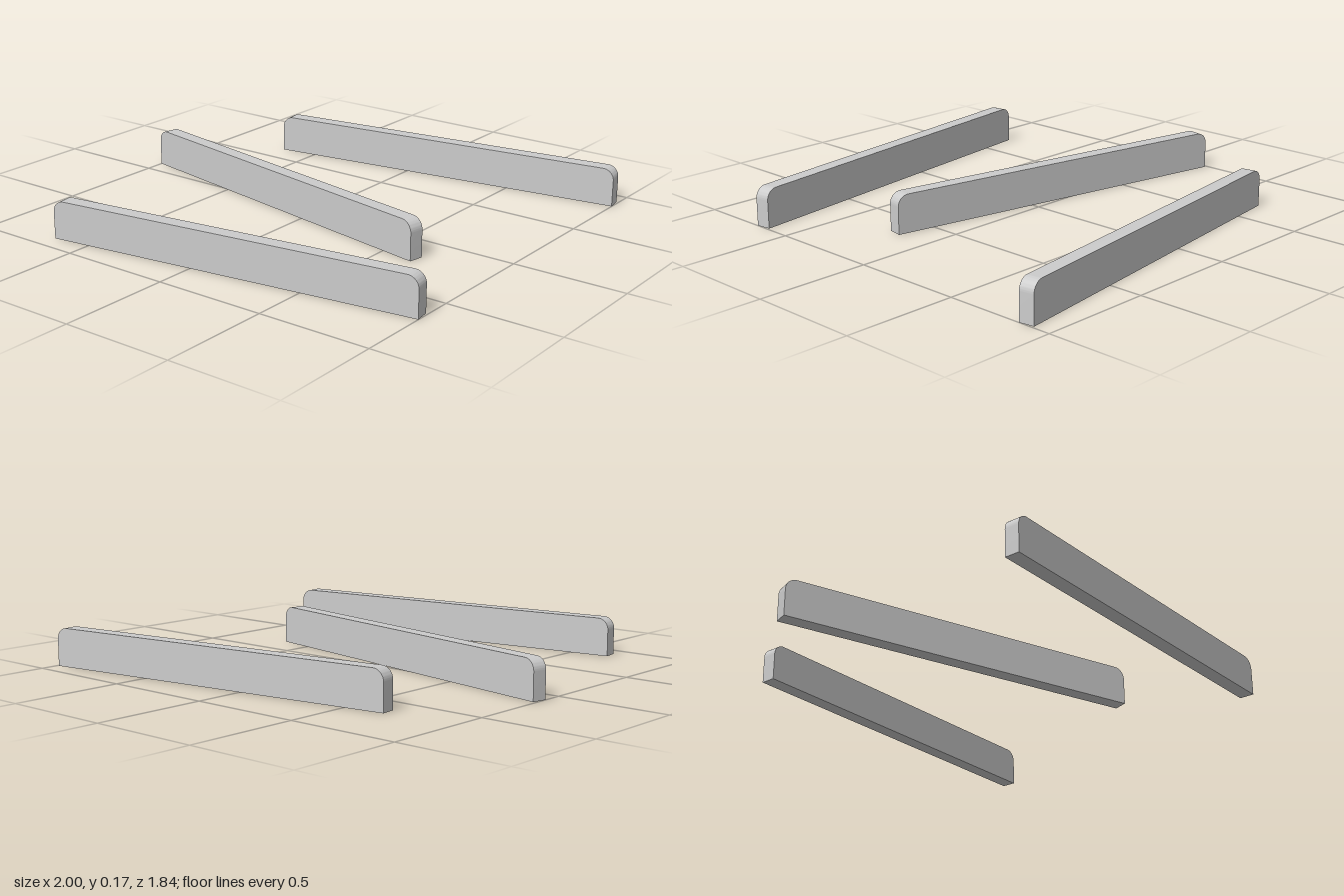
import * as THREE from 'three';
import { toCreasedNormals } from 'three/addons/utils/BufferGeometryUtils.js';

const LENGTH = 1.686, HEIGHT = 0.17, THICK = 0.066, RADIUS = 0.05;

// Side profile of a bar: flat base, rounded upper corners
function barGeometry() {
  const h = LENGTH / 2;
  const profile = new THREE.Shape();
  profile.moveTo(-h, 0);
  profile.lineTo(h, 0);
  profile.lineTo(h, HEIGHT - RADIUS);
  profile.absarc(h - RADIUS, HEIGHT - RADIUS, RADIUS, 0, Math.PI / 2);
  profile.lineTo(-h + RADIUS, HEIGHT);
  profile.absarc(-h + RADIUS, HEIGHT - RADIUS, RADIUS, Math.PI / 2, Math.PI);
  profile.closePath();
  const geometry = new THREE.ExtrudeGeometry(profile, { depth: THICK, bevelEnabled: false, curveSegments: 10 });
  geometry.translate(0, 0, -THICK / 2);
  return toCreasedNormals(geometry, 0.5);
}

export function createModel() {
  const model = new THREE.Group();
  model.name = 'barriers';
  const material = new THREE.MeshStandardMaterial({ color: 0xcccccc });
  const geometry = barGeometry();

  // Three staggered bars: name, x, z, turn in degrees
  const bars = [
    ['backBar', 0.16, -0.77, 7.85],
    ['middleBar', -0.166, 0.038, -10.95],
    ['frontBar', 0.16, 0.77, 7.85],
  ];
  for (const [name, x, z, turn] of bars) {
    const bar = new THREE.Mesh(geometry, material);
    bar.name = name;
    bar.position.set(x, 0, z);
    bar.rotation.y = THREE.MathUtils.degToRad(turn);
    model.add(bar);
  }
  return model;
}
